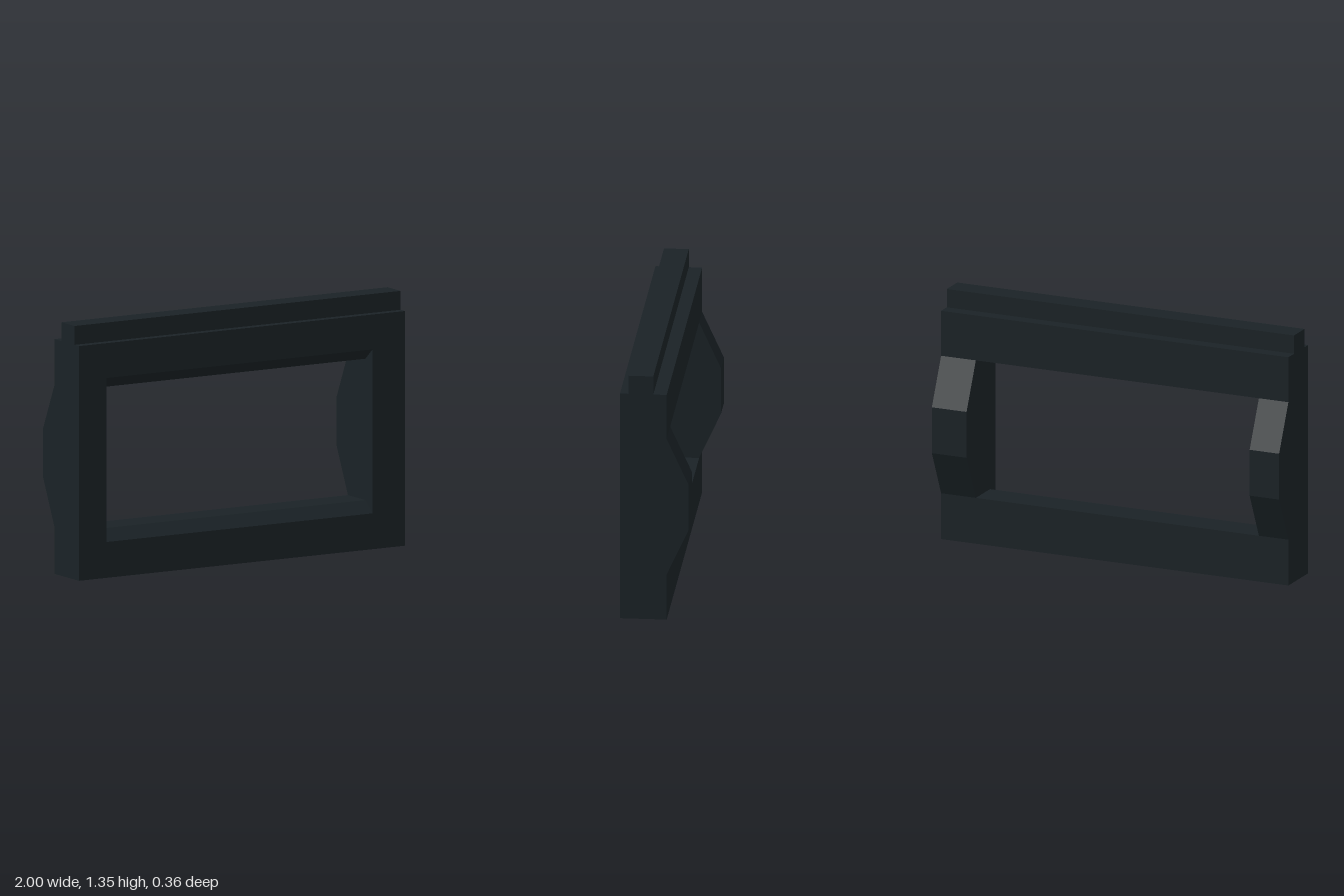
import * as THREE from 'three';

const material = new THREE.MeshStandardMaterial({ color: 0x1a2226, flatShading: true });

// Extrude a [z, y] side profile along x, from x0 to x1.
function bar(name, profile, x0, x1) {
  const shape = new THREE.Shape(profile.map(([z, y]) => new THREE.Vector2(-z, y)));
  const geometry = new THREE.ExtrudeGeometry(shape, { depth: x1 - x0, bevelEnabled: false });
  geometry.rotateY(Math.PI / 2);
  geometry.translate(x0, 0, 0);
  const mesh = new THREE.Mesh(geometry, material);
  mesh.name = name;
  return mesh;
}

export function createModel() {
  const group = new THREE.Group();
  group.name = 'windowFrame';

  const front = 0.18, back = -0.065, rear = -0.18, top = 1.245;
  const innerLeft = 0.8, innerRight = -0.83;
  const bevel = front - 0.07;

  // Side posts with a tapered bulge at the back
  const post = [
    [front, 0], [back, 0], [back, 0.25], [rear, 0.5],
    [rear, 0.75], [back, 1], [back, top], [front, top],
  ];
  group.add(bar('rightPost', post, -1, innerRight));
  group.add(bar('leftPost', post, innerLeft, 1));

  // Sill and header, bevelled at the front of the opening
  group.add(bar('sill', [
    [front, 0], [back, 0], [back, 0.25], [bevel, 0.25], [front, 0.19],
  ], innerRight, innerLeft));
  group.add(bar('header', [
    [front, 1.06], [bevel, 1], [back, 1], [back, top], [front, top],
  ], innerRight, innerLeft));

  // Narrow rail along the top
  group.add(bar('topRail', [
    [0.135, top], [0.005, top], [0.005, 1.345], [0.135, 1.345],
  ], -1, 1));

  return group;
}
